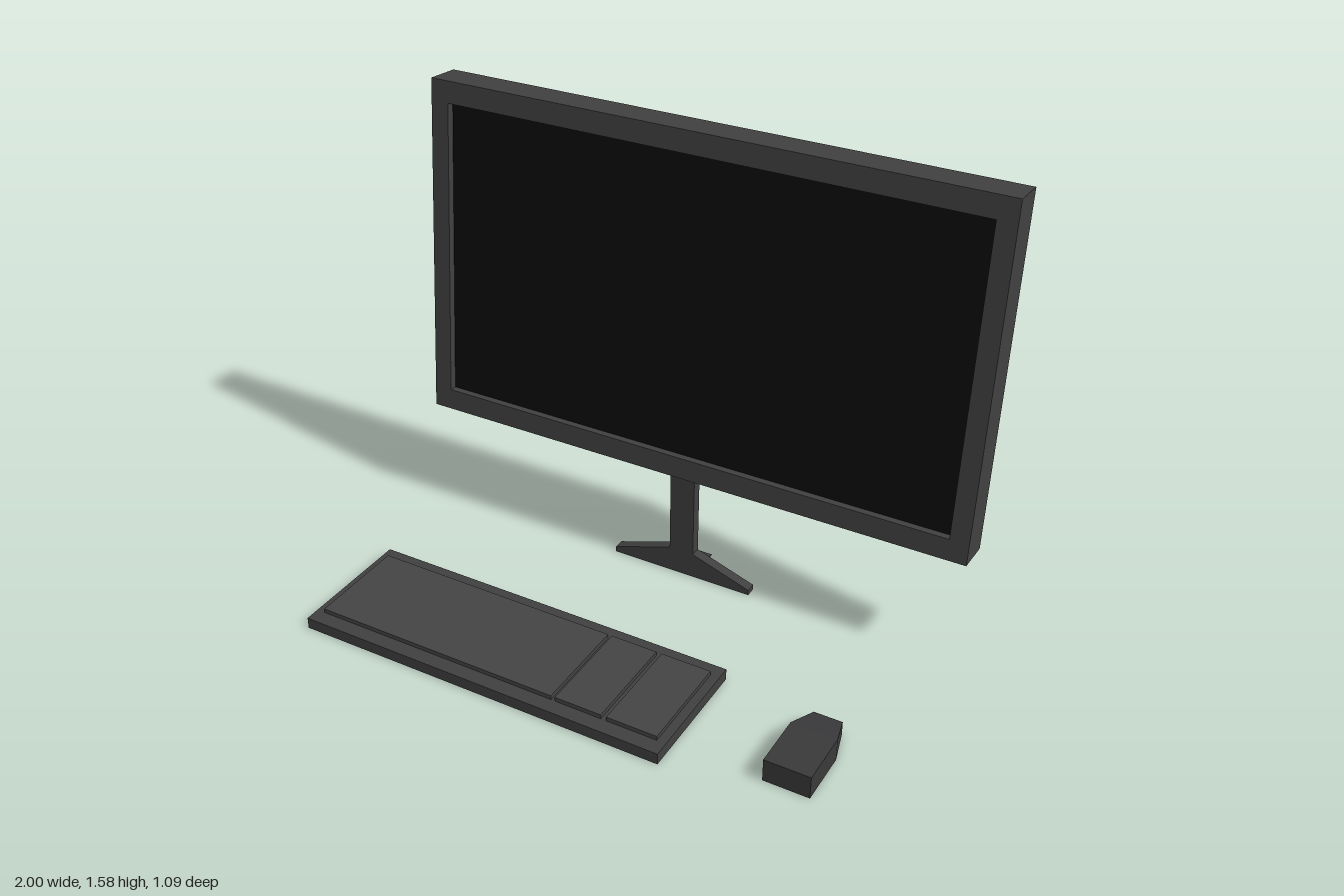
import * as THREE from 'three';
import { ConvexGeometry } from 'three/addons/geometries/ConvexGeometry.js';

const material = (color) => new THREE.MeshStandardMaterial({ color, flatShading: true });
const shellMat = material(0x404040);
const keyMat = material(0x444444);
const mouseMat = material(0x39393b);
const screenMat = material(0x0b0b0b);

function add(parent, name, geometry, mat) {
  const mesh = new THREE.Mesh(geometry, mat);
  mesh.name = name;
  parent.add(mesh);
  return mesh;
}

// Box given by its min and max corners
function box(parent, name, [x0, y0, z0], [x1, y1, z1], mat) {
  const mesh = add(parent, name, new THREE.BoxGeometry(x1 - x0, y1 - y0, z1 - z0), mat);
  mesh.position.set((x0 + x1) / 2, (y0 + y1) / 2, (z0 + z1) / 2);
  return mesh;
}

const polygon = (points) => points.map(([x, y]) => new THREE.Vector2(x, y));
const rect = (w, h) => polygon([[-w, -h], [w, -h], [w, h], [-w, h]]);
const extrude = (shape, depth) => new THREE.ExtrudeGeometry(shape, { depth, bevelEnabled: false });

function createMonitor() {
  const monitor = new THREE.Group();
  monitor.name = 'monitor';
  const w = 1, h = 0.597, d = 0.0625, bezel = 0.065, recess = 0.028;

  // Housing with a raised bezel around the sunken screen
  box(monitor, 'housing', [-w, -h, -d], [w, h, d - recess], shellMat);
  const frame = new THREE.Shape(rect(w, h));
  frame.holes.push(new THREE.Path(rect(w - bezel, h - 0.075)));
  add(monitor, 'bezel', extrude(frame, recess), shellMat).position.z = d - recess;
  add(monitor, 'screen', new THREE.PlaneGeometry(2 * (w - bezel), 2 * (h - 0.075)), screenMat)
    .position.z = d - recess + 0.001;

  // Leaning back slightly
  monitor.position.set(0, 0.984, -0.435);
  monitor.rotation.x = -0.08;
  return monitor;
}

function createStand() {
  const stand = new THREE.Group();
  stand.name = 'stand';

  // Post flaring into two side feet
  const post = new THREE.Shape(polygon([
    [-0.26, 0], [0.26, 0], [0.26, 0.02], [0.045, 0.093],
    [0.045, 0.41], [-0.045, 0.41], [-0.045, 0.093], [-0.26, 0.02],
  ]));
  add(stand, 'postAndSideFeet', extrude(post, 0.037), shellMat).position.z = -0.372;

  // Rear foot, its side profile swept across the post width
  const foot = new THREE.Shape(polygon([[0.372, 0], [0.485, 0], [0.405, 0.023], [0.372, 0.092]]));
  const rear = add(stand, 'rearFoot', extrude(foot, 0.09), shellMat);
  rear.rotation.y = Math.PI / 2;
  rear.position.x = -0.045;
  return stand;
}

function createKeyboard() {
  const keyboard = new THREE.Group();
  keyboard.name = 'keyboard';
  box(keyboard, 'keyboardBase', [-0.925, 0, 0.096], [0.395, 0.04, 0.546], shellMat);

  // Main, navigation and number key blocks
  const blocks = [['mainKeys', -0.895, -0.01], ['navigationKeys', 0.004, 0.169], ['numberKeys', 0.188, 0.364]];
  for (const [name, x0, x1] of blocks) {
    box(keyboard, name, [x0, 0.038, 0.145], [x1, 0.055, 0.494], keyMat);
  }
  return keyboard;
}

// Faceted mouse: full-width body with a nose that narrows and slopes down
function createMouse(parent) {
  const points = [];
  for (const [z, halfWidth, top] of [[0.452, 0.077, 0.08], [0.265, 0.077, 0.08], [0.156, 0.048, 0.052]]) {
    for (const side of [-1, 1]) {
      for (const y of [0, top]) points.push(new THREE.Vector3(side * halfWidth, y, z));
    }
  }
  add(parent, 'mouse', new ConvexGeometry(points), mouseMat).position.x = 0.772;
}

export function createModel() {
  const model = new THREE.Group();
  model.name = 'desktopSet';
  model.add(createMonitor(), createStand(), createKeyboard());
  createMouse(model);
  return model;
}
